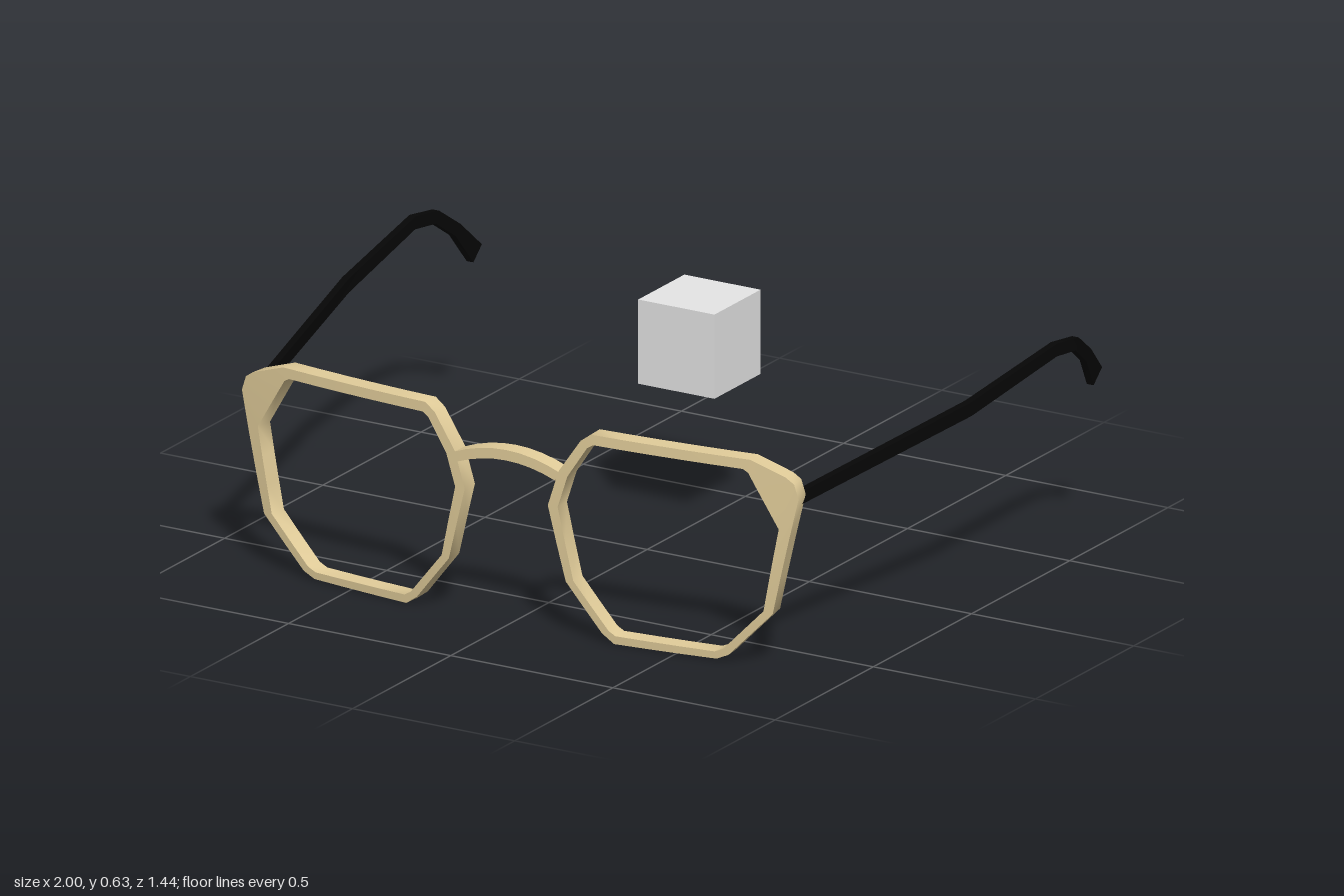
import * as THREE from 'three';
import { toCreasedNormals } from 'three/addons/utils/BufferGeometryUtils.js';

const mat = (name, color) => {
  const m = new THREE.MeshStandardMaterial({ color });
  m.name = name;
  return m;
};

// Skin a row of four-cornered sections; a closed row joins its ends, an open one gets caps
function loft(sections, side, closed) {
  const idx = [], n = sections.length;
  const quad = (a, b, c, d) => (side > 0 ? idx.push(a, b, c, a, c, d) : idx.push(a, c, b, a, d, c));
  for (let s = 0; s < (closed ? n : n - 1); s++) {
    const here = s * 4, next = ((s + 1) % n) * 4;
    for (let k = 0; k < 4; k++) {
      const j = (k + 1) % 4;
      quad(here + j, here + k, next + k, next + j);
    }
  }
  if (!closed) {
    const e = (n - 1) * 4;
    quad(0, 1, 2, 3);
    quad(e + 3, e + 2, e + 1, e);
  }
  const pos = sections.flat().flatMap(([x, y, z]) => [x * side, y, z]);
  const g = new THREE.BufferGeometry();
  g.setAttribute('position', new THREE.Float32BufferAttribute(pos, 3));
  g.setIndex(idx);
  return toCreasedNormals(g, 0.75);
}

// Put a point of the flat face, at depth d behind its front, on the curved face
const DEPTH = 0.05;
const onFace = (x, y, d) =>
  [x - d * 0.19 * x, y, 0.719 - d - 0.097 * x * x - 0.09 * (y - 0.36) ** 2];

// Section of a face bar from its inner to its outer edge
const faceSection = ([xi, yi], [xo, yo]) => [
  onFace(xi, yi, DEPTH), onFace(xi, yi, 0), onFace(xo, yo, 0), onFace(xo, yo, DEPTH),
];

// Rim corners for the +x side: outer x, y and the matching inner x, y
const RIM = [
  [0.255, 0.577, 0.262, 0.549], [0.72, 0.577, 0.7, 0.549], [0.822, 0.541, 0.715, 0.54],
  [0.845, 0.525, 0.735, 0.507], [0.858, 0.485, 0.803, 0.395], [0.784, 0.155, 0.758, 0.16],
  [0.655, 0.022, 0.64, 0.037], [0.62, 0.006, 0.615, 0.026], [0.32, 0.001, 0.325, 0.024],
  [0.285, 0.026, 0.305, 0.036], [0.18, 0.155, 0.203, 0.16], [0.128, 0.36, 0.158, 0.36],
  [0.16, 0.46, 0.187, 0.45], [0.225, 0.555, 0.245, 0.538],
];

function rim(side) {
  const sections = [];
  RIM.forEach((a, i) => {
    const b = RIM[(i + 1) % RIM.length];
    // Extra sections along long edges let them follow the curve
    const steps = Math.max(1, Math.round(Math.hypot(b[0] - a[0], b[1] - a[1]) / 0.1));
    for (let k = 0; k < steps; k++) {
      const [xo, yo, xi, yi] = a.map((v, j) => v + (b[j] - v) * k / steps);
      sections.push(faceSection([xi, yi], [xo, yo]));
    }
  });
  return loft(sections, side, true);
}

// Arched bar between the rims
function bridge() {
  const sections = [];
  for (let i = 0; i <= 8; i++) {
    const t = i / 4 - 1;
    sections.push(faceSection([0.15 * t, 0.462 - 0.03 * t * t], [0.165 * t, 0.491 - 0.035 * t * t]));
  }
  return loft(sections, 1, false);
}

// Arm sections: centre x, then top z, top y, bottom z, bottom y
const ARM = [
  [0.832, 0.62, 0.492, 0.62, 0.457],
  [0.96, -0.05, 0.572, -0.05, 0.533],
  [0.989, -0.44, 0.625, -0.435, 0.59],
  [0.986, -0.552, 0.608, -0.537, 0.576],
  [0.972, -0.638, 0.548, -0.614, 0.521],
  [0.956, -0.72, 0.47, -0.677, 0.432],
];

function arm(side) {
  const half = 0.0105;
  const sections = ARM.map(([x, zt, yt, zb, yb]) => [
    [x - half, yb, zb], [x + half, yb, zb], [x + half, yt, zt], [x - half, yt, zt],
  ]);
  return loft(sections, side, false);
}

export function createModel() {
  const group = new THREE.Group();
  group.name = 'glasses';
  const tan = mat('tan frame', 0xe2cd9a);
  const black = mat('black arms', 0x060606);
  const grey = mat('light grey cube', 0xe6e6e6);

  const add = (name, geometry, material) => {
    const mesh = new THREE.Mesh(geometry, material);
    mesh.name = name;
    group.add(mesh);
    return mesh;
  };

  for (const [label, side] of [['left', 1], ['right', -1]]) {
    add(label + 'Rim', rim(side), tan);
    add(label + 'Arm', arm(side), black);
  }
  add('bridge', bridge(), tan);

  // Plain cube floating between the arms
  add('cube', new THREE.BoxGeometry(0.235, 0.235, 0.235), grey).position.set(0, 0.516, -0.266);
  return group;
}
